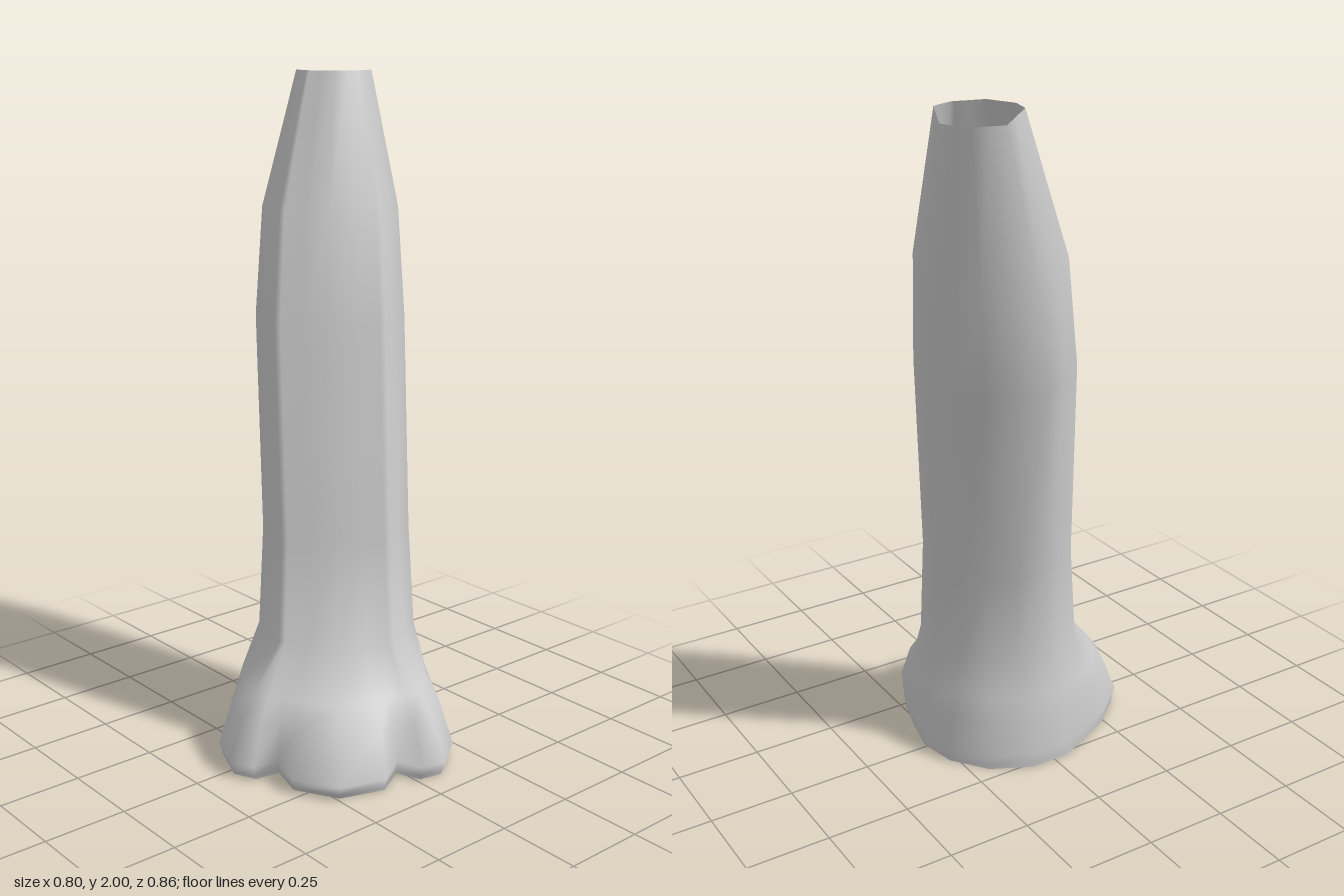
import * as THREE from 'three';

// Half outline of the three-toed foot, toe tip to heel: [sideways, forward, matching place on the leg]
// The leg is eight-sided, so places 0 to 4 are its corners from front to back.
const HALF = [
  [0, 0.447, 0], [0.135, 0.394, 0.5], [0.176, 0.284, 0.75], [0.247, 0.325, 0.9],
  [0.316, 0.29, 1], [0.351, 0.167, 1.5], [0.322, 0.042, 2], [0.281, -0.054, 2.5],
  [0.225, -0.165, 3], [0.13, -0.245, 3.5], [0, -0.275, 4],
];
const CLEFT = 2;

// Leg sections, ankle to rim: height, forward centre, sideways centre, sideways radius,
// forward radius, flatness of front and back, backward tilt
const SECTIONS = [
  [0.35, -0.043, 0.008, 0.238, 0.183, 0.92, 0.74, 0],
  [0.65, -0.072, 0.006, 0.222, 0.165, 0.87, 0.84, 0.15],
  [1.28, -0.218, -0.012, 0.226, 0.179, 0.91, 0.74, 0.25],
  [1.6, -0.29, -0.012, 0.206, 0.175, 0.83, 0.72, 0.45],
  [2.0, -0.392, -0.001, 0.114, 0.116, 0.6, 0.84, 0.26],
];

// The foot points diagonally, towards -x and +z
const place = (w, s, y) => [0.02 - 0.645 * s + 0.765 * w, y, 0.765 * s + 0.645 * w];

// Mirror a half ring [w, s, y] into a closed ring
function mirror(half) {
  const other = half.slice(1, -1).reverse().map(([w, s, y]) => [-w, s, y]);
  return [...half, ...other];
}

// Eight-sided leg section, with extra points along its edges
function legHalf([y, cs, , rw, rs, flatFront, flatBack, tilt]) {
  const corners = [[0, 1], [0.72, flatFront], [1, 0], [0.72, -flatBack], [0, -1]];
  return HALF.map(([, , at]) => {
    const i = Math.min(3, Math.floor(at)), t = at - i;
    const w = THREE.MathUtils.lerp(corners[i][0], corners[i + 1][0], t) * rw;
    const s = THREE.MathUtils.lerp(corners[i][1], corners[i + 1][1], t) * rs;
    return [w, cs + s, y - tilt * Math.max(0, -s)];
  });
}

const legRing = (section) => mirror(legHalf(section)).map(([w, s, y]) => [w + section[2], s, y]);

// Foot section: the outline drawn in towards the ankle by k, with the cleft set by hand.
// The toes turn very slightly sideways.
function footRing(y, k, cleft) {
  const ankle = legHalf(SECTIONS[0]);
  const half = HALF.map(([w, s], i) => {
    if (i === CLEFT && cleft) return [...cleft, y];
    return [w + (ankle[i][0] - w) * k, s + (ankle[i][1] - s) * k, y];
  });
  return mirror(half).map(([w, s]) => [w + 0.04 * Math.max(0, s), s, y]);
}

function toGeometry(positions, indices) {
  const g = new THREE.BufferGeometry();
  g.setAttribute('position', new THREE.Float32BufferAttribute(positions, 3));
  g.setIndex(indices);
  g.computeVertexNormals();
  return g;
}

function loft(rings) {
  const n = rings[0].length;
  const positions = rings.flat().flatMap((p) => place(...p));
  const indices = [];
  for (let j = 0; j < rings.length - 1; j++) {
    for (let i = 0; i < n; i++) {
      const a = j * n + i, b = j * n + (i + 1) % n;
      indices.push(a, b, b + n, a, b + n, a + n);
    }
  }
  return toGeometry(positions, indices);
}

function cap(ring) {
  const positions = [...place(0, 0, 0), ...ring.flatMap((p) => place(...p))];
  const indices = [];
  ring.forEach((_, i) => indices.push(0, 1 + (i + 1) % ring.length, 1 + i));
  return toGeometry(positions, indices);
}

export function createModel() {
  const group = new THREE.Group();
  group.name = 'leg';
  const material = new THREE.MeshStandardMaterial({ color: 0xcccccc, side: THREE.DoubleSide });

  const soleRing = footRing(0, 0.08);
  const rings = [
    soleRing,
    footRing(0.012, 0.06),
    footRing(0.045, 0),
    footRing(0.16, 0.25, [0.162, 0.252]),
    footRing(0.225, 0.5, [0.152, 0.236]),
    ...SECTIONS.map(legRing),
  ];

  // Open-topped leg running down into the toes
  const leg = new THREE.Mesh(loft(rings), material);
  leg.name = 'legAndToes';

  // Flat underside
  const sole = new THREE.Mesh(cap(soleRing), material);
  sole.name = 'sole';

  group.add(leg, sole);
  return group;
}
